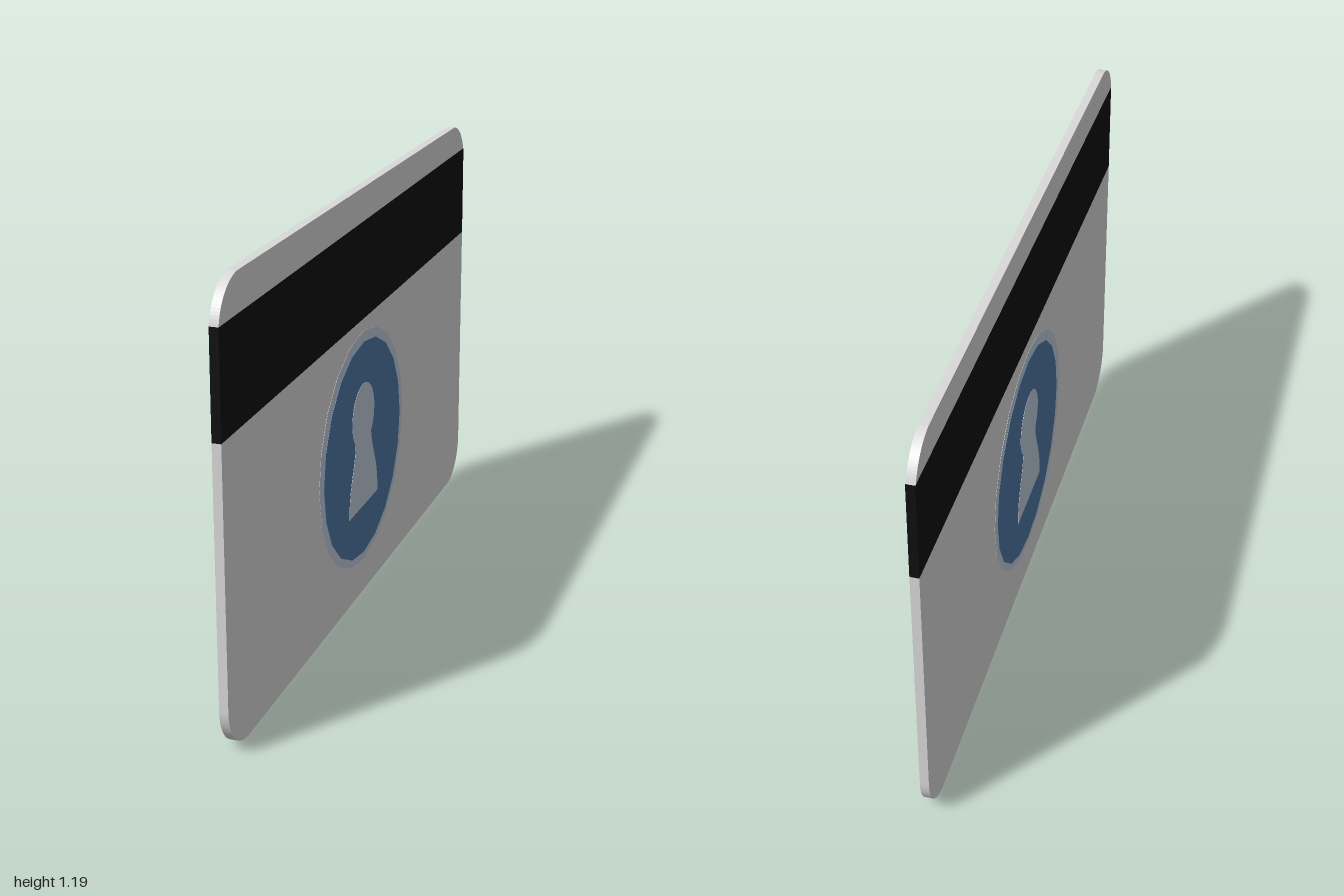
import * as THREE from 'three';

const HALF = 0.012; // half the card thickness

const paint = (name, color) => {
  const m = new THREE.MeshStandardMaterial({ color });
  m.name = name;
  return m;
};

// Extrudes a shape drawn in (-z, y) along x, centred on the given x
function slab(name, shape, thickness, x, material) {
  const geo = new THREE.ExtrudeGeometry(shape, { depth: thickness, bevelEnabled: false, curveSegments: 10 });
  geo.translate(0, 0, -thickness / 2);
  geo.rotateY(Math.PI / 2);
  const mesh = new THREE.Mesh(geo, material);
  mesh.name = name;
  mesh.position.x = x;
  return mesh;
}

function ellipse(u, y, ru, ry) {
  const s = new THREE.Shape();
  s.absellipse(u, y, ru, ry, 0, Math.PI * 2);
  return s;
}

export function createModel() {
  const group = new THREE.Group();
  group.name = 'card';
  const grey = paint('light grey plastic', 0xdadada);
  const black = paint('black stripe', 0x0e0e0e);
  const blue = paint('badge blue', 0x4f78a5);
  const pale = paint('pale blue grey', 0xc0ccdc);

  const top = 1.19, r = 0.125;

  // Card body below the stripe
  const lower = new THREE.Shape();
  lower.moveTo(-1, 0.812);
  lower.lineTo(-1, r);
  lower.absarc(-1 + r, r, r, Math.PI, Math.PI * 1.5);
  lower.lineTo(1 - r, 0);
  lower.absarc(1 - r, r, r, -Math.PI / 2, 0);
  lower.lineTo(1, 0.83);
  group.add(slab('cardBody', lower, HALF * 2, 0, grey));

  // Slightly tilted stripe, running round both edges
  const stripe = new THREE.Shape();
  stripe.moveTo(-1, 0.812);
  stripe.lineTo(1, 0.83);
  stripe.lineTo(0.998, 1.104);
  stripe.lineTo(-0.998, 1.088);
  group.add(slab('stripe', stripe, HALF * 2, 0, black));

  // Rounded upper strip of the card
  const upper = new THREE.Shape();
  upper.moveTo(-0.998, 1.088);
  upper.lineTo(0.998, 1.104);
  upper.absarc(1 - r, top - r, r, Math.asin((1.104 - top + r) / r), Math.PI / 2);
  upper.lineTo(-1 + r, top);
  upper.absarc(-1 + r, top - r, r, Math.PI / 2, Math.PI - Math.asin((1.088 - top + r) / r));
  group.add(slab('cardTop', upper, HALF * 2, 0, grey));

  // Plain pawn-like figure: flared base, narrow neck, round head
  const figure = new THREE.Shape();
  figure.moveTo(-0.12, 0.268);
  figure.lineTo(0.125, 0.268);
  figure.bezierCurveTo(0.13, 0.36, 0.08, 0.4, 0.068, 0.465);
  figure.absarc(0, 0.54, 0.095, -0.8, Math.PI + 0.8);
  figure.bezierCurveTo(-0.07, 0.41, -0.125, 0.36, -0.12, 0.268);

  // Painted badge, the same on both faces
  const layers = [
    ['badgeRim', ellipse(0.002, 0.443, 0.362, 0.343), pale],
    ['badgeDisc', ellipse(0.006, 0.438, 0.331, 0.317), blue],
    ['badgeFigure', figure, pale],
  ];
  for (const side of [1, -1]) {
    layers.forEach(([name, shape, material], i) => {
      const thickness = 0.0008;
      group.add(slab(name, shape, thickness, side * (HALF + thickness * (i + 0.5)), material));
    });
  }
  return group;
}
